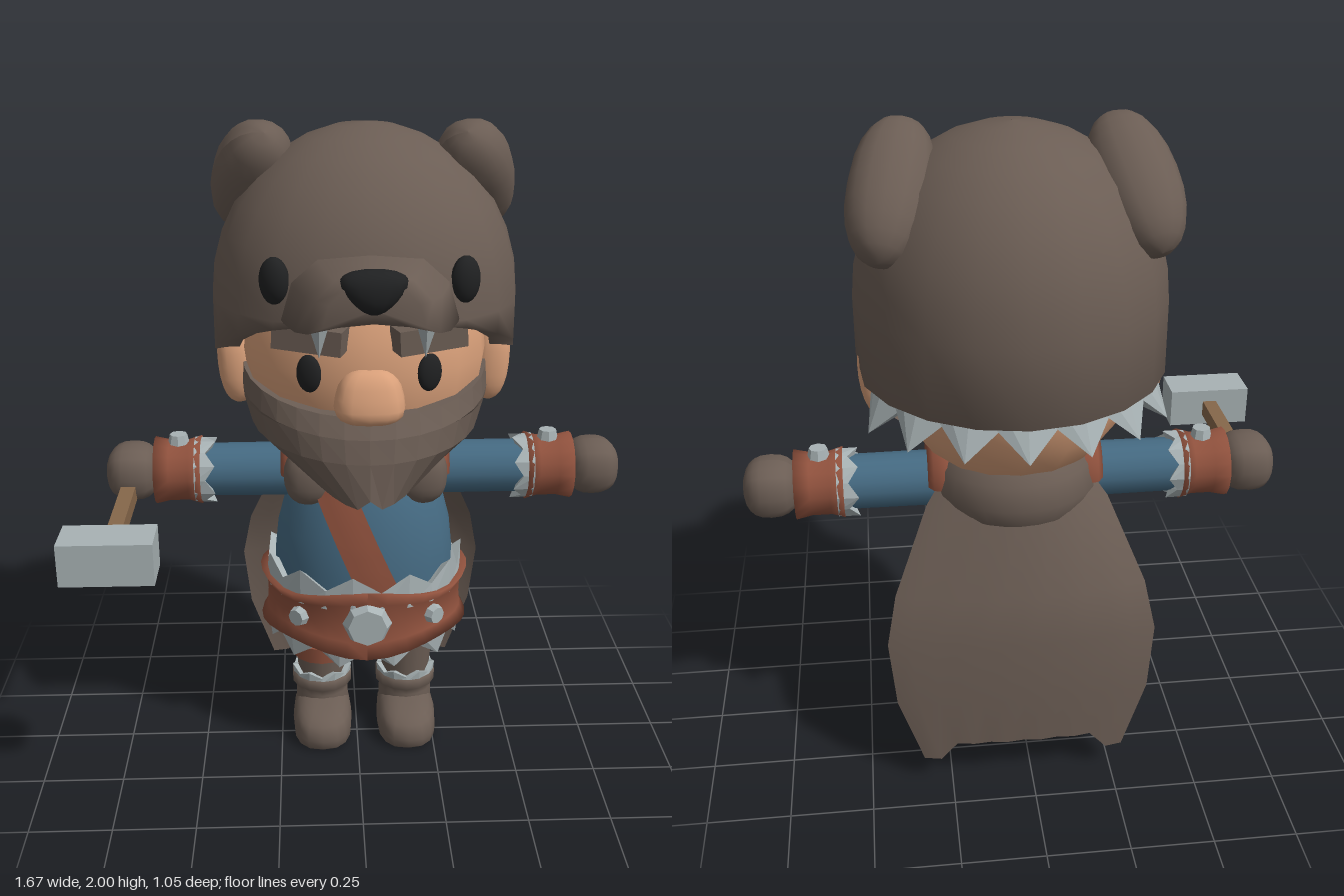
import * as THREE from 'three';

const mat = (name, color) => new THREE.MeshStandardMaterial({ name, color, side: THREE.DoubleSide });
const V2 = (pts) => pts.map(([x, y]) => new THREE.Vector2(x, y));

// Smooth surface from a rule: fn(i, j) gives a point; closed welds the i direction
function grid(nu, nv, fn, closed = false) {
  const pos = [], idx = [], w = closed ? nu : nu + 1;
  for (let j = 0; j <= nv; j++) for (let i = 0; i < w; i++) pos.push(...fn(i, j));
  for (let j = 0; j < nv; j++) for (let i = 0; i < nu; i++) {
    const a = j * w + i, b = j * w + (i + 1) % w;
    idx.push(a, b, b + w, a, b + w, a + w);
  }
  const g = new THREE.BufferGeometry();
  g.setAttribute('position', new THREE.Float32BufferAttribute(pos, 3));
  g.setIndex(idx);
  g.computeVertexNormals();
  return g;
}

function flat(g) {
  const f = g.toNonIndexed();
  f.computeVertexNormals();
  return f;
}

// Sphere pushed toward a box by a power below 1, then reshaped by a rule
function softBlock(power, rule = (x, y, z) => [x, y, z]) {
  const g = new THREE.SphereGeometry(1, 16, 12), p = g.attributes.position;
  const f = (v) => Math.sign(v) * Math.abs(v) ** power;
  for (let i = 0; i < p.count; i++) p.setXYZ(i, ...rule(f(p.getX(i)), f(p.getY(i)), f(p.getZ(i))));
  g.computeVertexNormals();
  return g;
}

// Faceted zigzag fur band: base, jagged edge, and a return to the inside
function furBand(n, base, tip, valley, start = 0, len = Math.PI * 2) {
  return flat(grid(n * 2, 2, (i, j) => {
    const a = start + (len * i) / (n * 2);
    const edge = i % 2 ? tip : valley;
    const [r, y] = j === 0 ? base : j === 1 ? edge : [base[0] - 0.03, edge[1] * 0.8 + base[1] * 0.2];
    return [r * Math.sin(a), y, r * Math.cos(a)];
  }));
}

export function createModel() {
  const brown = mat('brown fur', 0x6b5d54), skin = mat('skin', 0xd9a07a), blue = mat('blue cloth', 0x456a82);
  const leather = mat('leather', 0x8f513d), grey = mat('pale grey', 0xa8b2b4);
  const black = mat('black', 0x202122), wood = mat('wood', 0x86674a);

  const model = new THREE.Group();
  const figure = new THREE.Group();
  figure.name = 'figure';
  figure.position.x = 0.025;
  model.add(figure);

  const add = (name, geo, m, p = [0, 0, 0], parent = figure) => {
    const o = new THREE.Mesh(geo, m);
    o.name = name;
    o.position.set(...p);
    parent.add(o);
    return o;
  };
  const ball = (name, m, p, r, power = 1, parent = figure) => {
    const o = add(name, softBlock(power), m, p, parent);
    o.scale.set(...r);
    return o;
  };
  const lathe = (pts, seg = 24, ...arc) => new THREE.LatheGeometry(V2(pts), seg, ...arc);
  const stud = (r, h) => flat(new THREE.CylinderGeometry(r * 0.75, r, h, 8));

  // Head and face
  ball('head', skin, [0, 1.33, -0.08], [0.37, 0.4, 0.36]);
  const nose = softBlock(0.7, (x, y, z) => [x * (0.87 - 0.15 * y), y, z * (0.8 - 0.25 * y)]);
  add('nose', nose, skin, [0, 1.28, 0.26]).scale.set(0.112, 0.08, 0.09);
  for (const s of [-1, 1]) {
    ball('ear', skin, [s * 0.39, 1.27, -0.095], [0.058, 0.125, 0.055], 0.85).rotation.z = -s * 0.08;
    ball('eye', black, [s * 0.17, 1.34, 0.243], [0.038, 0.055, 0.02]).rotation.y = s * 0.45;
    const brow = add('eyebrow', new THREE.BoxGeometry(0.2, 0.07, 0.08), brown, [s * 0.165, 1.45, 0.255]);
    brow.rotation.set(0, s * 0.3, s * 0.06);
  }

  // Beard: rows of [half width, front z, front y, side y], the first ones forming the moustache
  const beardRows = [[0.33, 0.24, 1.23, 1.29], [0.37, 0.3, 1.225, 1.295], [0.374, 0.335, 1.17, 1.23], [0.372, 0.3, 1.165, 1.2],
    [0.35, 0.32, 1.09, 1.12], [0.27, 0.335, 0.955, 1.06], [0.1, 0.1, 1.0, 1.06]];
  add('beard', flat(grid(16, 6, (i, j) => {
    const a = ((i - 8) / 8) * 1.57, [rx, zf, yf, ys] = beardRows[j], c = Math.cos(a);
    const notch = j === 5 && i === 8 ? 0.03 : 0;
    const narrow = j === 5 ? 1 - 0.35 * c : 1;
    return [rx * narrow * Math.sin(a), yf + (ys - yf) * (1 - c) + notch, -0.08 + (zf + 0.08) * c];
  })), brown);

  // Bear hood: dome whose rim rises toward the face, with a turned-in edge
  const rimY = (z) => 1.28 + 0.42 * Math.max(0, z + 0.2);
  add('hood', grid(20, 10, (i, j) => {
    const a = (i / 20) * Math.PI * 2, s = Math.sin(a), c = Math.cos(a);
    const rim = rimY(-0.09 + 0.44 * c), eq = Math.max(1.5, rim), phi = (Math.min(j, 8) / 8) * Math.PI / 2;
    const r = j === 10 ? 0.84 : Math.max(Math.sin(phi), 0.001);
    const y = j > 8 ? rim : eq + (1.99 - eq) * Math.cos(phi);
    return [0.452 * r * s, y, -0.09 + (0.44 * c + 0.03 * s * s) * r];
  }, true), brown);
  add('hoodFur', furBand(7, [0.41, 1.33], [0.475, 1.17], [0.43, 1.25], Math.PI - 1.3, 2.6), grey, [0, 0, -0.08]).scale.z = 0.92;

  // Bear muzzle: trapezoid sections swept forward
  const half = [[0, 1.69], [0.12, 1.675], [0.18, 1.61], [0.205, 1.51], [0.11, 1.53]];
  const section = [...half, [0, 1.54], ...half.slice(1).reverse().map(([x, y]) => [-x, y])];
  const muzzle = [[0.15, 1.3, 1.1], [0.33, 1.15, 1], [0.43, 1, 0.95], [0.48, 0.84, 0.85], [0.5, 0.65, 0.6], [0.5, 0, 0]];
  add('muzzle', grid(10, 5, (i, j) => {
    const [z, sx, sy] = muzzle[j];
    return [section[i][0] * sx, 1.59 + (section[i][1] - 1.59) * sy, z];
  }, true), brown);
  const bearNose = softBlock(0.9, (x, y, z) => [x * (0.75 + 0.35 * y), y, z]);
  add('bearNose', bearNose, black, [0, 1.63, 0.475]).scale.set(0.108, 0.06, 0.05);
  for (const s of [-1, 1]) {
    ball('bearEye', black, [s * 0.26, 1.61, 0.262], [0.046, 0.066, 0.035]).rotation.y = s * 0.6;
    const ear = ball('bearEar', brown, [s * 0.33, 1.825, -0.155], [0.118, 0.225, 0.115], 0.9);
    ear.rotation.set(0.85, 0, s * 0.2);
    add('fang', flat(new THREE.ConeGeometry(0.036, 0.11, 6)), grey, [s * 0.142, 1.49, 0.41]).rotation.x = Math.PI;
  }

  // Torso, hips, belt and fur trims share one oval frame
  const torso = new THREE.Group();
  torso.name = 'torso';
  torso.position.z = -0.085;
  torso.scale.z = 0.87;
  figure.add(torso);
  const body = [[0.285, 0.55], [0.285, 0.65], [0.274, 0.75], [0.248, 0.85], [0.205, 0.95], [0.14, 1.03], [0.001, 1.06]];
  add('tunic', lathe(body), blue, [0, 0, 0], torso);
  add('hips', lathe([[0.001, 0.32], [0.15, 0.325], [0.23, 0.35], [0.28, 0.42], [0.29, 0.5]]), brown, [0, 0, 0], torso);
  add('upperFur', furBand(11, [0.315, 0.55], [0.315, 0.665], [0.31, 0.61], Math.PI / 22), grey, [0, 0, 0], torso);
  add('lowerFur', furBand(11, [0.315, 0.44], [0.305, 0.345], [0.295, 0.4]), grey, [0, 0, 0], torso);
  const belt = lathe([[0.29, 0.42], [0.335, 0.41], [0.315, 0.45], [0.312, 0.5], [0.315, 0.56], [0.335, 0.6], [0.29, 0.59]], 32);
  const bp = belt.attributes.position;
  for (let i = 0; i < bp.count; i++) {
    const a = Math.atan2(bp.getX(i), bp.getZ(i));
    bp.setY(i, 0.505 + (bp.getY(i) - 0.505) * (0.95 + 0.13 * Math.cos(4 * a) + 0.13 * Math.cos(2 * a)));
  }
  belt.computeVertexNormals();
  add('belt', belt, leather, [0, 0, 0], torso);
  add('buckle', stud(0.08, 0.04), grey, [0, 0.505, 0.192]).rotation.x = Math.PI / 2;
  for (const s of [-1, 1]) {
    const b = add('beltStud', stud(0.036, 0.035), grey, [s * 0.212, 0.505, 0.122]);
    b.rotation.set(Math.PI / 2, 0, -s * 0.65);
  }

  // Chest strap laid on the tunic surface
  const radiusAt = (y) => {
    const k = Math.max(1, body.findIndex((p) => p[1] >= y)), [r0, y0] = body[k - 1], [r1, y1] = body[k];
    return r0 + ((r1 - r0) * (y - y0)) / (y1 - y0);
  };
  add('chestStrap', grid(4, 10, (i, j) => {
    const t = j / 10, y = 1.0 - 0.4 * t, x = -0.135 + 0.175 * t + (i - 2) * 0.032, r = radiusAt(y) + 0.014;
    return [x, y, Math.sqrt(Math.max(0.002, r * r - x * x))];
  }), leather, [0, 0, 0], torso);

  // Cloak: collar, lapels and hanging cape
  add('collar', lathe([[0.235, 0.87], [0.26, 0.93], [0.24, 1.0], [0.2, 1.06], [0.16, 1.07]], 20, 1.0, Math.PI * 2 - 2), brown, [0, 0, -0.095]);
  const capeRows = [[1.02, 0.18, -0.25], [0.9, 0.27, -0.3], [0.65, 0.375, -0.38], [0.5, 0.405, -0.4], [0.3, 0.385, -0.405], [0.1, 0.31, -0.4]];
  add('cape', grid(12, 5, (i, j) => {
    const u = (i - 6) / 6, [y, w, z] = capeRows[j];
    const hem = j < 5 ? 0 : Math.abs(u) < 0.8 ? 0.04 : -0.015;
    return [u * w, y + hem, z + u * u * (0.09 - 0.015 * j) - 0.006 * (i % 2)];
  }), brown);

  for (const s of [-1, 1]) {
    ball('lapel', brown, [s * 0.172, 0.945, 0.035], [0.08, 0.092, 0.065], 0.85);
    const pad = add('shoulderPad', new THREE.TorusGeometry(0.105, 0.035, 8, 12, Math.PI), leather, [s * 0.205, 0.94, -0.085]);
    pad.rotation.y = Math.PI / 2;
    pad.scale.z = 1.6;

    // Arm built along its own y axis, then swung sideways
    const arm = new THREE.Group();
    arm.name = s > 0 ? 'leftArm' : 'rightArm';
    arm.position.set(0, 0.92, -0.09);
    arm.rotation.z = -s * Math.PI / 2;
    figure.add(arm);
    add('sleeve', new THREE.CylinderGeometry(0.083, 0.085, 0.42, 16), blue, [0, 0.34, 0], arm);
    add('cuffFur', furBand(7, [0.104, 0.53], [0.105, 0.465], [0.1, 0.495]), grey, [0, 0, 0], arm);
    add('bracer', lathe([[0.07, 0.515], [0.108, 0.51], [0.096, 0.55], [0.096, 0.61], [0.106, 0.655], [0.06, 0.65]], 16), leather, [0, 0, 0], arm);
    add('bracerStud', stud(0.036, 0.04), grey, [-s * 0.1, 0.58, 0], arm).rotation.z = s * Math.PI / 2;
    ball('hand', brown, [0, 0.725, 0], [0.088, 0.083, 0.1], 0.8, arm);

    // Leg and boot
    const leg = new THREE.Group();
    leg.name = s > 0 ? 'leftLeg' : 'rightLeg';
    leg.position.set(s * 0.14, 0, -0.09);
    figure.add(leg);
    add('trouser', new THREE.CylinderGeometry(0.1, 0.078, 0.24, 14), brown, [0, 0.3, 0], leg);
    add('bootShaft', lathe([[0.09, 0.05], [0.088, 0.13], [0.085, 0.15], [0.1, 0.155], [0.1, 0.19], [0.07, 0.195]], 14), brown, [0, 0, 0], leg);
    add('bootFur', furBand(7, [0.096, 0.185], [0.1, 0.22], [0.094, 0.2]), grey, [0, 0, 0], leg);
    const foot = softBlock(0.75, (x, y, z) => [x * 0.098, (Math.max(y, -0.5) + 0.5) * (0.083 - 0.008 * z), 0.06 + z * 0.16]);
    add('boot', foot, brown, [0, 0, 0], leg);
    if (s < 0) add('legBand', new THREE.CylinderGeometry(0.1, 0.096, 0.055, 14), leather, [0, 0.287, 0], leg);
  }

  // Hammer held forward in the right hand
  add('hammerHandle', new THREE.BoxGeometry(0.045, 0.05, 0.5), wood, [-0.708, 0.878, 0.13], model);
  add('hammerHead', new THREE.BoxGeometry(0.31 - 0.045, 0.125, 0.135), grey, [-0.708, 0.88, 0.437], model);
  return model;
}
